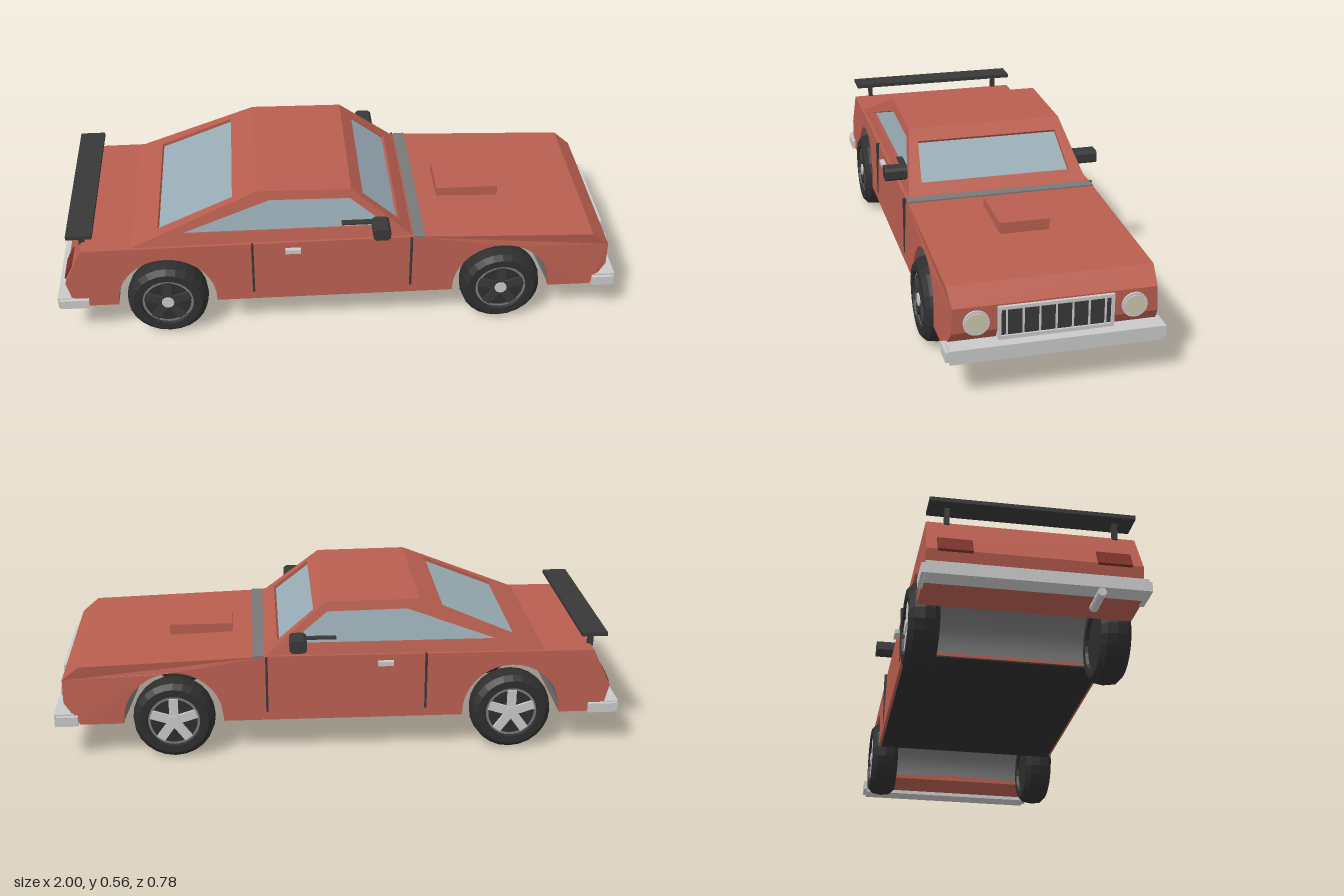
import * as THREE from 'three';

const mat = (name, color, side = THREE.FrontSide) => {
  const m = new THREE.MeshStandardMaterial({ color, side });
  m.name = name;
  return m;
};

export function createModel() {
  const red = mat('body red', 0xb85e4f);
  const darkRed = mat('tail light red', 0x7c3028);
  const glass = mat('window glass', 0x98abb4);
  const black = mat('trim black', 0x383838);
  const rubber = mat('tyre rubber', 0x2e2e2e);
  const grey = mat('liner grey', 0x787878, THREE.DoubleSide);
  const chrome = mat('chrome', 0xc9c9c9);
  const cream = mat('headlight cream', 0xcbc6ad);

  const car = new THREE.Group();
  car.name = 'car';
  const add = (name, geo, material, parent = car) => {
    const mesh = new THREE.Mesh(geo, material);
    mesh.name = name;
    parent.add(mesh);
    return mesh;
  };
  // Box given by its limits on each axis
  const box = (name, m, [x0, x1], [y0, y1], [z0, z1], parent = car) => {
    const b = add(name, new THREE.BoxGeometry(x1 - x0, y1 - y0, z1 - z0), m, parent);
    b.position.set((x0 + x1) / 2, (y0 + y1) / 2, (z0 + z1) / 2);
    return b;
  };
  // Cylinder lying along x
  const rod = (name, m, r, [x0, x1], y, z, sides = 24) => {
    const c = add(name, new THREE.CylinderGeometry(r, r, x1 - x0, sides).rotateZ(-Math.PI / 2), m);
    c.position.set((x0 + x1) / 2, y, z);
  };

  // Lower body: side profile with wheel arches, narrowing upwards and at the nose
  const axles = [-0.612, 0.583], axleY = 0.145, archR = 0.175, bottom = 0.135;
  const pts = [[-0.94, bottom]];
  for (const ax of axles) {
    for (let i = 0; i <= 18; i++) {
      const a = Math.PI * (1 - i / 18);
      pts.push([ax + archR * Math.cos(a), i % 18 ? axleY + archR * Math.sin(a) : bottom]);
    }
  }
  pts.push([0.91, bottom], [0.965, 0.215], [0.965, 0.3], [0.905, 0.35],
    [0.25, 0.373], [-0.9, 0.368], [-0.965, 0.235]);
  const bodyGeo = new THREE.ExtrudeGeometry(
    new THREE.Shape(pts.map(p => new THREE.Vector2(...p))), { depth: 2, bevelEnabled: false }).translate(0, 0, -1);
  const bp = bodyGeo.attributes.position;
  for (let i = 0; i < bp.count; i++) {
    const half = 0.345 - (bp.getY(i) - bottom) * 0.042;
    bp.setZ(i, bp.getZ(i) * half * (bp.getX(i) > 0.92 ? 0.975 : 1));
  }
  bodyGeo.computeVertexNormals();
  add('lowerBody', bodyGeo, red);
  box('floorPan', rubber, [-0.436, 0.407], [0.13, 0.136], [-0.335, 0.335]);

  // Wheel wells: half tunnels, the front one pinched in the middle
  axles.forEach((ax, k) => {
    const g = new THREE.CylinderGeometry(0.173, 0.173, 0.66, 24, 2, true, Math.PI / 2, Math.PI).rotateX(Math.PI / 2);
    const p = g.attributes.position;
    for (let i = 0; k && i < p.count; i++) {
      if (Math.abs(p.getZ(i)) < 0.01) p.setXY(i, p.getX(i) * 0.8, p.getY(i) * 0.8);
    }
    g.computeVertexNormals();
    add(k ? 'frontWheelWell' : 'rearWheelWell', g, grey).position.set(ax, axleY, 0);
  });

  // Cabin: four-cornered panels, each with a recessed window
  const quads = list => {
    const v = [];
    for (const [a, b, c, d] of list) for (const q of [a, b, c, a, c, d]) v.push(q.x, q.y, q.z);
    const g = new THREE.BufferGeometry();
    g.setAttribute('position', new THREE.Float32BufferAttribute(v, 3));
    g.computeVertexNormals();
    return g;
  };
  const V = (x, y, z) => new THREE.Vector3(x, y, z);
  const windowPanel = (name, outer, hole) => {
    const n = V(0, 0, 0).crossVectors(outer[1].clone().sub(outer[0]), outer[3].clone().sub(outer[0])).normalize();
    const pane = hole.map(p => p.clone().addScaledVector(n, -0.012));
    const ring = (a, b) => a.map((p, i) => [p, a[(i + 1) % 4], b[(i + 1) % 4], b[i]]);
    add(name + 'Frame', quads([...ring(outer, hole), ...ring(hole, pane)]), red);
    add(name + 'Glass', quads([pane]), glass);
  };
  const halfW = y => 0.325 - (y - 0.37) * 0.254;
  for (const s of [1, -1]) {
    const place = list => {
      const q = list.map(([x, y]) => V(x, y, s * halfW(y)));
      return s > 0 ? q : q.reverse();
    };
    windowPanel(s > 0 ? 'leftSide' : 'rightSide',
      place([[-0.73, 0.367], [0.265, 0.367], [0.045, 0.55], [-0.285, 0.555]]),
      place([[-0.555, 0.412], [0.175, 0.412], [0.04, 0.518], [-0.24, 0.522]]));
  }
  const crossPanel = (name, s, [xb, yb], [xt, yt], [y0, z0], [y1, z1]) => {
    const X = y => xb + (xt - xb) * (y - yb) / (yt - yb);
    const q = (ya, za, yc, zc) => [V(X(ya), ya, s * za), V(X(ya), ya, -s * za), V(X(yc), yc, -s * zc), V(X(yc), yc, s * zc)];
    windowPanel(name, q(yb, halfW(yb), yt, halfW(yt)), q(y0, z0, y1, z1));
  };
  crossPanel('windscreen', 1, [0.265, 0.367], [0.045, 0.55], [0.408, 0.27], [0.515, 0.255]);
  crossPanel('rearWindow', -1, [-0.73, 0.367], [-0.285, 0.555], [0.408, 0.27], [0.52, 0.255]);
  const rw = halfW(0.555), fw = halfW(0.55);
  add('roof', quads([[V(-0.285, 0.555, rw), V(0.045, 0.55, fw), V(0.045, 0.55, -fw), V(-0.285, 0.555, -rw)]]), red);

  // Hood
  box('cowlStrip', grey, [0.262, 0.302], [0.36, 0.376], [-0.335, 0.335]);
  box('hoodScoop', red, [0.375, 0.6], [0.35, 0.4], [-0.085, 0.085]);

  // Grille and headlights
  const gy = [0.183, 0.295], gz = 0.187;
  box('grilleBack', black, [0.93, 0.969], [0.19, 0.29], [-0.182, 0.182]);
  box('grilleTop', chrome, [0.94, 0.976], [0.284, gy[1]], [-gz, gz]);
  box('grilleBottom', chrome, [0.93, 0.976], [gy[0], 0.195], [-gz, gz]);
  for (const s of [1, -1]) {
    box('grilleEnd', chrome, [0.93, 0.976], gy, [s * 0.182 - 0.005, s * 0.182 + 0.005]);
    rod('headlightRing', chrome, 0.042, [0.93, 0.972], 0.247, s * 0.255);
    rod('headlightLens', cream, 0.034, [0.94, 0.976], 0.247, s * 0.255);
  }
  for (let i = -3; i <= 3; i++) box('grilleBar', chrome, [0.95, 0.973], [0.19, 0.288], [i * 0.053 - 0.003, i * 0.053 + 0.003]);

  // Bumpers with wrapped ends, exhaust, tail lights
  box('frontBumper', chrome, [0.93, 1], [0.128, 0.176], [-0.345, 0.345]);
  box('rearBumper', chrome, [-1, -0.935], [0.13, 0.172], [-0.345, 0.345]);
  for (const s of [1, -1]) {
    const z = [s * 0.349 - 0.008, s * 0.349 + 0.008];
    box('frontBumperEnd', chrome, [0.917, 0.992], [0.134, 0.17], z);
    box('rearBumperEnd', chrome, [-0.992, -0.89], [0.134, 0.168], z);
    const light = box('tailLight', darkRed, [-0.005, 0.005], [-0.03, 0.03], [-0.055, 0.055]);
    light.position.set(-0.954, 0.258, s * 0.25);
    light.rotation.z = -0.46;
  }
  rod('exhaustPipe', chrome, 0.014, [-1, -0.89], 0.115, 0.195, 12);

  // Rear wing
  box('wing', black, [-0.945, -0.855], [0.418, 0.432], [-0.33, 0.33]);
  for (const s of [1, -1]) box('wingPost', black, [-0.91, -0.89], [0.36, 0.42], [s * 0.27 - 0.008, s * 0.27 + 0.008]);

  // Door seams, handles and mirrors on both sides
  const mirrorShape = new THREE.Shape([[-0.03, -0.014], [-0.02, -0.023], [0.02, -0.023], [0.03, -0.014],
    [0.03, 0.014], [0.02, 0.023], [-0.02, 0.023], [-0.03, 0.014]].map(p => new THREE.Vector2(...p)));
  for (const s of [1, -1]) {
    const side = (a, b) => [Math.min(s * a, s * b), Math.max(s * a, s * b)];
    for (const x of [-0.305, 0.255]) box('doorSeam', black, [x - 0.004, x + 0.004], [0.165, 0.372], side(0.33, 0.3455));
    box('doorHandle', chrome, [-0.19, -0.135], [0.333, 0.349], side(0.33, 0.352));
    box('mirrorArm', black, [0.01, 0.13], [0.427, 0.433], side(0.3, 0.322));
    const g = new THREE.ExtrudeGeometry(mirrorShape, { depth: 0.078, bevelEnabled: false });
    add('mirror', g, black).position.set(0.145, 0.428, s > 0 ? 0.312 : -0.39);
  }

  // Wheels: faceted tyre, dark dish, ring, five spokes and a cap
  const tyreProfile = [[0, -0.04], [0.092, -0.04], [0.096, -0.05], [0.122, -0.05], [0.14, -0.033], [0.145, 0],
    [0.14, 0.033], [0.122, 0.05], [0.096, 0.05], [0.092, 0.036], [0, 0.036]].map(p => new THREE.Vector2(...p));
  const tyreGeo = new THREE.LatheGeometry(tyreProfile, 24).toNonIndexed().rotateX(Math.PI / 2);
  tyreGeo.computeVertexNormals();
  for (const ax of axles) for (const s of [1, -1]) {
    const wheel = new THREE.Group();
    wheel.name = 'wheel';
    wheel.position.set(ax, axleY, s * 0.312);
    if (s < 0) wheel.rotation.y = Math.PI;
    car.add(wheel);
    add('tyre', tyreGeo, rubber, wheel);
    add('rimRing', new THREE.RingGeometry(0.082, 0.091, 32), grey, wheel).position.z = 0.042;
    for (let i = 0; i < 5; i++) {
      const a = Math.PI / 2 + i * Math.PI * 0.4;
      const spoke = add('spoke', new THREE.BoxGeometry(0.068, 0.032, 0.01), s > 0 ? black : chrome, wheel);
      spoke.position.set(0.05 * Math.cos(a), 0.05 * Math.sin(a), 0.04);
      spoke.rotation.z = a;
    }
    add('hubCap', new THREE.CylinderGeometry(0.022, 0.022, 0.02, 12).rotateX(Math.PI / 2), chrome, wheel).position.z = 0.04;
  }
  return car;
}
